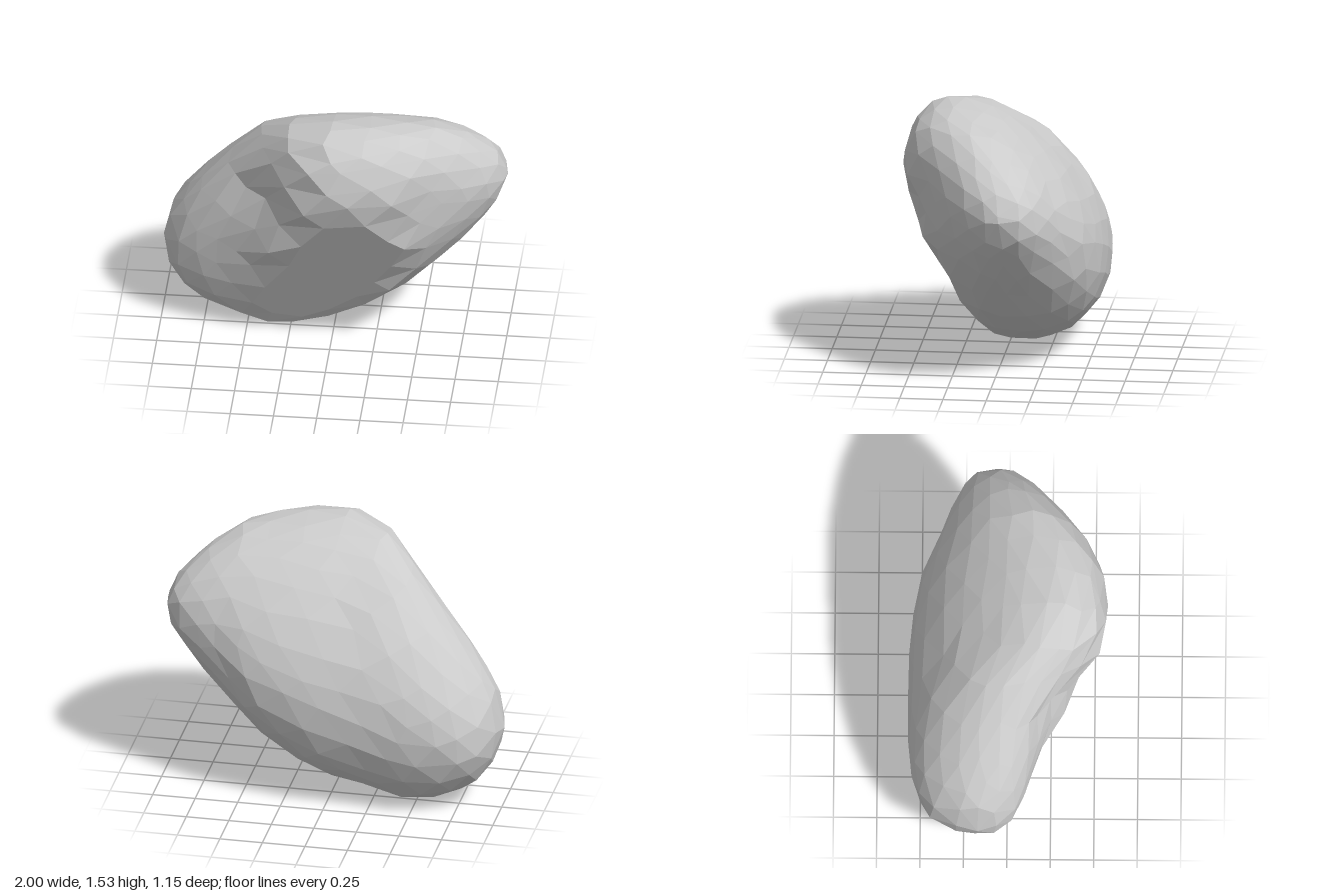
import * as THREE from 'three';
import { mergeVertices } from 'three/addons/utils/BufferGeometryUtils.js';

// Slices along x: [x, yLow, yHigh, zBack, zFront, leanTop, leanLow]
// A lean tips the top of the slice forward and its bottom back
const SLICES = [
  [-1, 0.47, 0.47, -0.17, -0.17, 0, 0],
  [-0.97, 0.32, 0.66, -0.31, -0.04, 0.1, 0],
  [-0.89, 0.18, 0.79, -0.45, 0.05, 0.2, 0],
  [-0.75, 0.09, 0.97, -0.53, 0.12, 0.33, 0],
  [-0.6, 0.03, 1.14, -0.565, 0.17, 0.42, 0],
  [-0.45, 0, 1.3, -0.57, 0.24, 0.43, 0.03],
  [-0.3, 0.02, 1.44, -0.57, 0.4, 0.46, 0.08],
  [-0.15, 0.06, 1.5, -0.57, 0.53, 0.52, 0.15],
  [0, 0.1, 1.53, -0.57, 0.565, 0.5, 0.2],
  [0.15, 0.16, 1.535, -0.56, 0.57, 0.46, 0.22],
  [0.3, 0.25, 1.52, -0.535, 0.56, 0.43, 0.22],
  [0.45, 0.355, 1.5, -0.5, 0.5, 0.42, 0.22],
  [0.6, 0.5, 1.47, -0.415, 0.39, 0.38, 0.2],
  [0.75, 0.65, 1.385, -0.35, 0.27, 0.3, 0.15],
  [0.88, 0.81, 1.28, -0.29, 0.16, 0.2, 0.1],
  [0.975, 0.94, 1.18, -0.21, 0.04, 0.1, 0.1],
  [1, 1.06, 1.06, -0.07, -0.07, 0.1, 0.1],
];

function seeded(seed) {
  return () => {
    seed = (seed * 16807) % 2147483647;
    return seed / 2147483647;
  };
}

// Slice at x, blended by angle so that both ends come out round
function sliceAt(x) {
  const i = Math.max(1, SLICES.findIndex((s) => s[0] >= x));
  const a = SLICES[i - 1], b = SLICES[i];
  const k = (Math.acos(a[0]) - Math.acos(x)) / (Math.acos(a[0]) - Math.acos(b[0]));
  return a.map((v, n) => THREE.MathUtils.lerp(v, b[n], k));
}

// Distance in the front plane from (x, y) to the segment a-b
function segmentDistance(x, y, [ax, ay], [bx, by]) {
  const dx = bx - ax, dy = by - ay;
  const k = THREE.MathUtils.clamp(((x - ax) * dx + (y - ay) * dy) / (dx * dx + dy * dy), 0, 1);
  return Math.hypot(x - ax - k * dx, y - ay - k * dy);
}

// Depth of the hollows between the lobes on the front face
function hollow(x, y) {
  const valley = segmentDistance(x, y, [-0.36, 1.05], [0.08, 0.5]);
  const dimple = segmentDistance(x, y, [0.4, 0.95], [0.54, 1.1]);
  return 0.08 * Math.exp(-((valley / 0.15) ** 2)) + 0.04 * Math.exp(-((dimple / 0.12) ** 2));
}

// Moves a point of the unit ball onto the rock
function shape(p) {
  const [x, y0, y1, z0, z1, leanTop, leanLow] = sliceAt(THREE.MathUtils.clamp(p.x * 1.008, -1, 1));
  const t = Math.atan2(p.z, p.y);
  const lean = THREE.MathUtils.lerp(leanTop, leanLow, (1 - Math.cos(t)) / 2);
  const front = Math.cos(t - Math.acos(lean));
  // The lower front corner is fuller, mostly on the left lobe
  const corner = Math.exp(-(((t - 2.4) / 0.45) ** 2)) * THREE.MathUtils.smoothstep(-x, -0.3, 0.4);
  const r = 1.01 + 0.08 * corner;
  const y = Math.max(0, (y0 + y1) / 2 + ((y1 - y0) / 2) * r * Math.cos(t));
  const z = (z0 + z1) / 2 + ((z1 - z0) / 2) * r * front - hollow(x, y) * Math.max(0, front);
  // Sloping flat that cuts the front below the upper lobe
  return p.set(x, y, Math.min(z, 0.02 + 0.5 * y));
}

function rockGeometry() {
  const rand = seeded(71);
  let geometry = new THREE.IcosahedronGeometry(1, 4).rotateX(Math.PI / 2);
  geometry.deleteAttribute('normal');
  geometry.deleteAttribute('uv');
  geometry = mergeVertices(geometry, 1e-3);

  // Uneven facets: shift each point a little, then shape it
  const position = geometry.attributes.position;
  const p = new THREE.Vector3();
  for (let i = 0; i < position.count; i++) {
    p.fromBufferAttribute(position, i);
    p.x += (rand() - 0.5) * 0.07;
    p.y += (rand() - 0.5) * 0.07;
    p.z += (rand() - 0.5) * 0.07;
    shape(p.normalize());
    position.setXYZ(i, p.x, p.y, p.z);
  }
  geometry.computeVertexNormals();
  return geometry;
}

export function createModel() {
  const group = new THREE.Group();
  group.name = 'rock';
  const body = new THREE.Mesh(
    rockGeometry(),
    new THREE.MeshStandardMaterial({ color: 0xcccccc, flatShading: true })
  );
  body.name = 'rockBody';
  group.add(body);
  return group;
}
